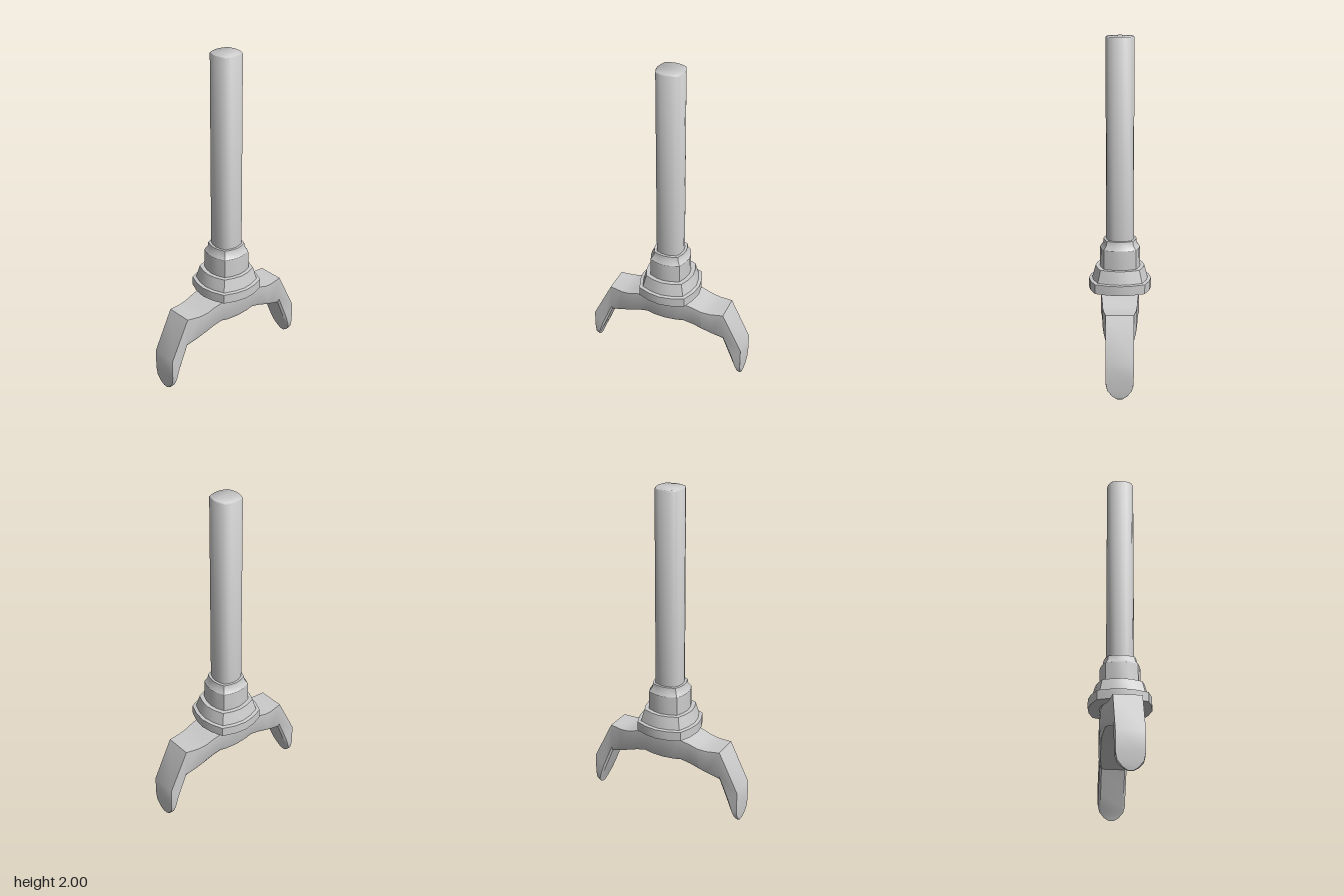
import * as THREE from 'three';
import { toCreasedNormals } from 'three/addons/utils/BufferGeometryUtils.js';

// Skin over a list of equal-length closed rings, with both ends capped
function loft(rings, crease) {
  const n = rings[0].length, index = [], last = (rings.length - 1) * n;
  for (let i = 0; i < rings.length - 1; i++) {
    for (let j = 0; j < n; j++) {
      const a = i * n + j, b = i * n + (j + 1) % n;
      index.push(a, b, a + n, b, b + n, a + n);
    }
  }
  for (let j = 1; j < n - 1; j++) {
    index.push(0, j + 1, j, last, last + j, last + j + 1);
  }
  const g = new THREE.BufferGeometry();
  g.setAttribute('position', new THREE.Float32BufferAttribute(rings.flat(2), 3));
  g.setIndex(index);
  return toCreasedNormals(g, crease);
}

// Sixteen-sided bulging square of half-width r at height y
function bulgedSquare(r, y) {
  const factors = [1, 1.015, 1.11, 1.015];
  return Array.from({ length: 16 }, (_, k) => {
    const t = k * Math.PI / 8, d = r * factors[k % 4];
    return [Math.cos(t) * d, y, -Math.sin(t) * d];
  });
}

// Fork slice between an outer and an inner point, chamfered on the inner side
function forkSlice([xo, yo, xi, yi, w, c = 0.012], side) {
  const f = 0.85, xm = xo + (xi - xo) * f, ym = yo + (yi - yo) * f;
  const ring = [
    [xo, yo, -w], [xo, yo, w], [xm, ym, w],
    [xi, yi, w - c], [xi, yi, c - w], [xm, ym, -w],
  ];
  return ring.map(([x, y, z]) => [x * side, y, z]);
}

export function createModel() {
  const group = new THREE.Group();
  const material = new THREE.MeshStandardMaterial({ color: 0xcccccc });
  const add = (name, geometry) => {
    const mesh = new THREE.Mesh(geometry, material);
    mesh.name = name;
    group.add(mesh);
  };
  const turned = (profile, crease) => loft(profile.map(([r, y]) => bulgedSquare(r, y)), crease);

  // Long shaft
  add('shaft', turned([[0.082, 0.78], [0.082, 1.995], [0.078, 2]], 0.95));

  // Stepped collar
  add('collar', turned([
    [0.12, 0.64], [0.118, 0.765], [0.1, 0.79], [0.097, 0.815], [0.08, 0.815],
  ], 0.6));

  // Sloped tier and flange, with a short neck down to the fork
  add('flange', turned([
    [0.1, 0.48], [0.12, 0.515], [0.185, 0.515], [0.185, 0.572],
    [0.165, 0.575], [0.145, 0.65], [0.12, 0.65],
  ], 0.6));

  // Two-pronged fork: outer x, outer y, inner x, inner y, half depth, chamfer
  const half = [
    [0.08, 0.5, 0.08, 0.356, 0.112],
    [0.12, 0.496, 0.12, 0.363, 0.108],
    [0.18, 0.482, 0.18, 0.348, 0.103],
    [0.235, 0.463, 0.24, 0.327, 0.1],
    [0.29, 0.457, 0.3, 0.305, 0.093],
    [0.37, 0.463, 0.37, 0.28, 0.081],
    [0.49, 0.22, 0.425, 0.145, 0.08],
    [0.49, 0.1, 0.454, 0.075, 0.079, 0.014],
    [0.489, 0.055, 0.467, 0.045, 0.07, 0.014],
    [0.487, 0.02, 0.477, 0.015, 0.042, 0.01],
    [0.484, 0.002, 0.48, 0, 0.015, 0.006],
  ];
  // Mirrored slices swap their end order so the ring direction is unchanged
  const rings = [
    ...[...half].reverse().map((s) => forkSlice(s, -1)),
    forkSlice([0, 0.5, 0, 0.352, 0.115], 1),
    ...half.map((s) => forkSlice(s, 1)),
  ];
  add('fork', loft(rings, 0.6));

  return group;
}
